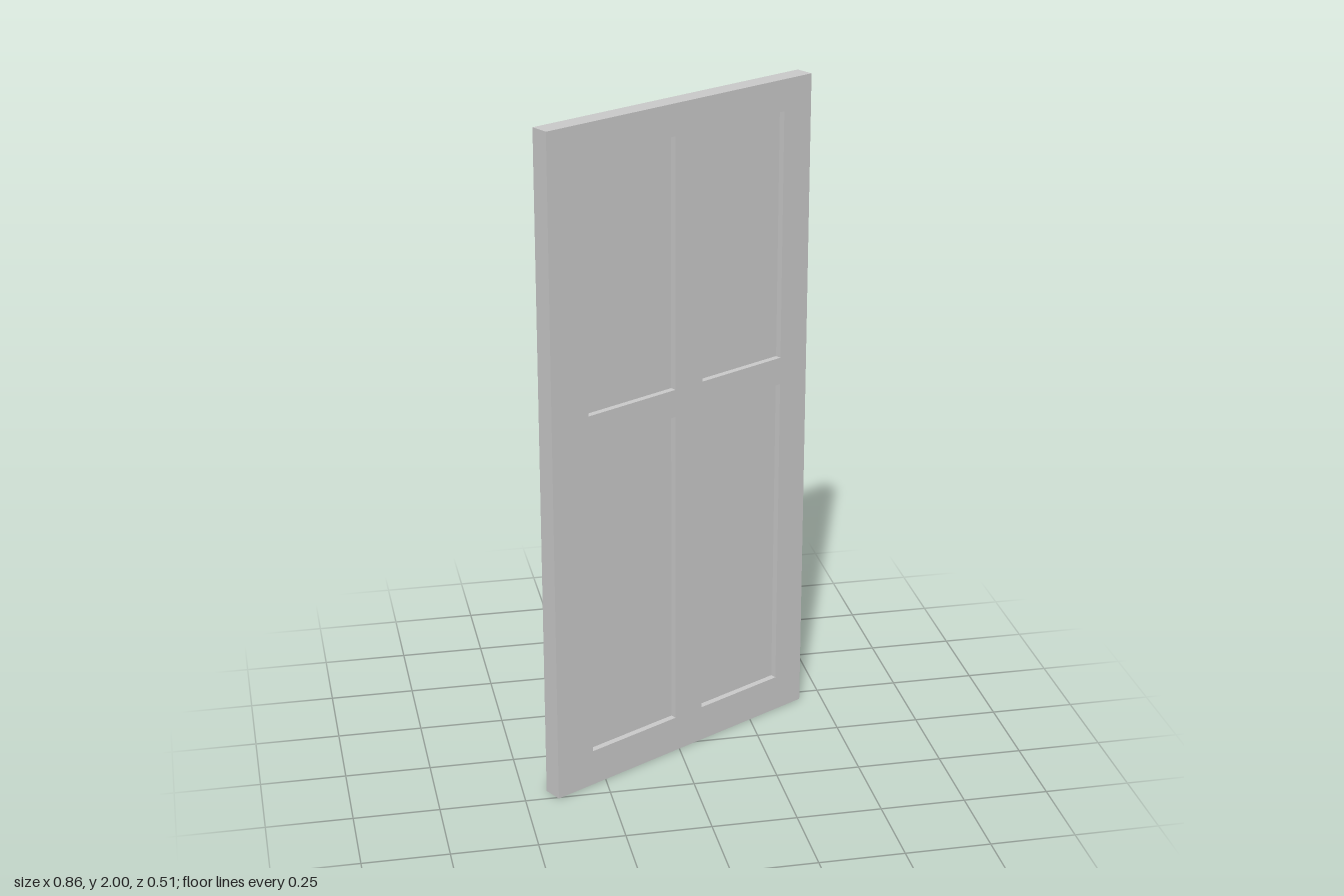
import * as THREE from 'three';

export function createModel() {
  const model = new THREE.Group();
  const material = new THREE.MeshStandardMaterial({ color: 0xcccccc, flatShading: true });

  const halfWidth = 0.477, height = 2, thickness = 0.058;
  const frontRecess = 0.019, panelThickness = 0.003;
  const columns = [[-0.348, -0.031], [0.071, 0.374]];
  const rows = [[0.11, 1.08], [1.163, 1.907]];

  // The whole door stands swung open about the vertical axis
  const door = new THREE.Group();
  door.name = 'door';
  door.rotation.y = 0.505;
  model.add(door);

  const rectangle = (target, x0, x1, y0, y1) => {
    target.moveTo(x0, y0);
    target.lineTo(x1, y0);
    target.lineTo(x1, y1);
    target.lineTo(x0, y1);
    target.closePath();
    return target;
  };

  // Frame outline, with one opening and one recessed panel per row and column
  const outline = rectangle(new THREE.Shape(), -halfWidth, halfWidth, 0, height);
  for (const [x0, x1] of columns) {
    for (const [y0, y1] of rows) {
      outline.holes.push(rectangle(new THREE.Path(), x0, x1, y0, y1));
      const panel = new THREE.Mesh(new THREE.BoxGeometry(x1 - x0, y1 - y0, panelThickness), material);
      panel.name = 'recessedPanel';
      panel.position.set((x0 + x1) / 2, (y0 + y1) / 2, thickness / 2 - frontRecess - panelThickness / 2);
      door.add(panel);
    }
  }

  // Stiles and rails in one piece
  const frameGeometry = new THREE.ExtrudeGeometry(outline, { depth: thickness, bevelEnabled: false });
  frameGeometry.translate(0, 0, -thickness / 2);
  const frame = new THREE.Mesh(frameGeometry, material);
  frame.name = 'frame';
  door.add(frame);

  return model;
}
